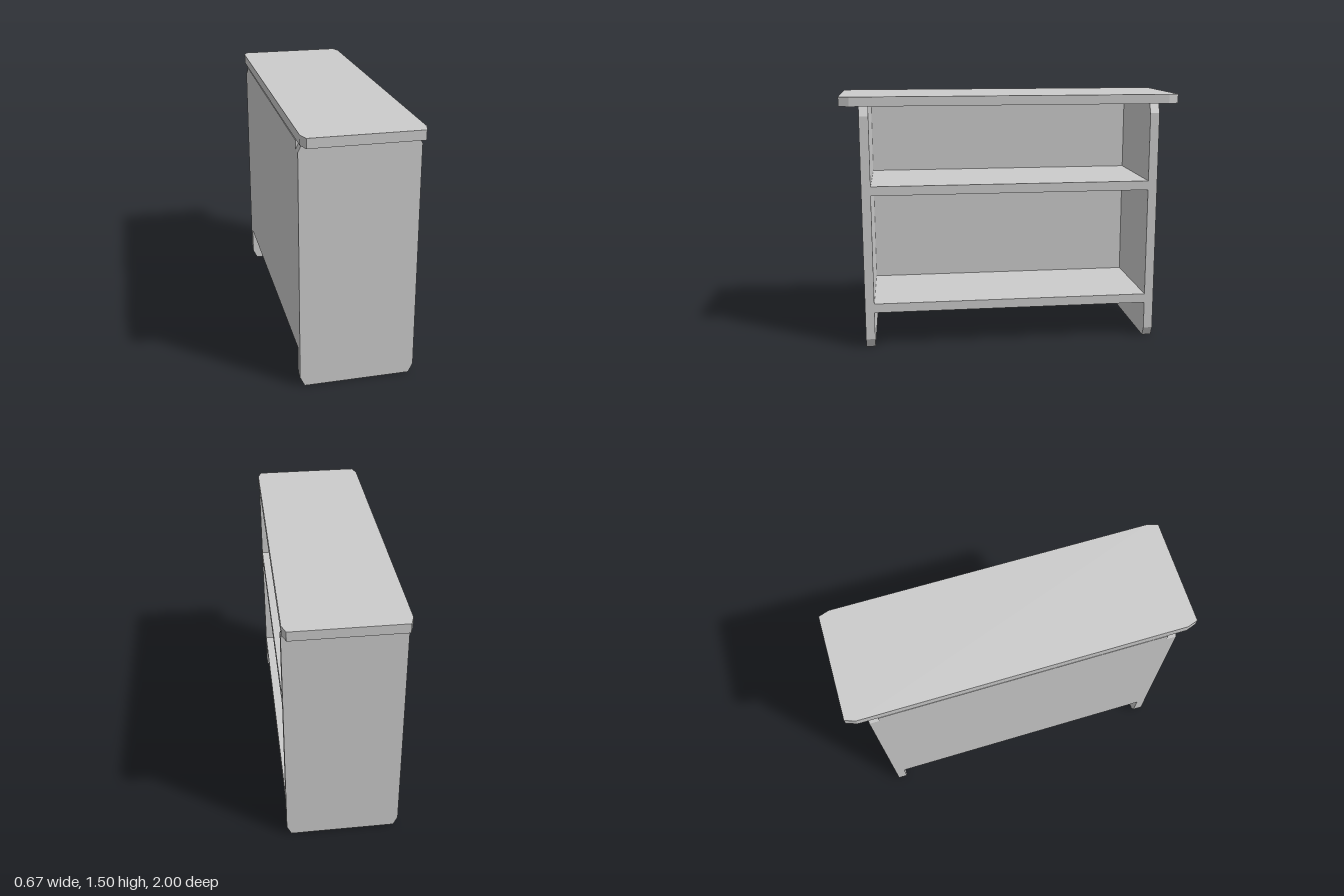
import * as THREE from 'three';

const material = new THREE.MeshStandardMaterial({ color: 0xcccccc, flatShading: true });
const BOARD = 0.055; // thickness shared by all boards
const HALF_DEPTH = 0.333;

// Board with four clipped corners, drawn in XY and extruded along +z
function clippedBoard(halfW, halfH, cutX, cutY) {
  const x = halfW - cutX, y = halfH - cutY;
  const shape = new THREE.Shape([
    [-x, -halfH], [x, -halfH], [halfW, -y], [halfW, y],
    [x, halfH], [-x, halfH], [-halfW, y], [-halfW, -y],
  ].map(([px, py]) => new THREE.Vector2(px, py)));
  return new THREE.ExtrudeGeometry(shape, { depth: BOARD, bevelEnabled: false });
}

export function createModel() {
  const group = new THREE.Group();
  const add = (name, geometry, x, y, z) => {
    const mesh = new THREE.Mesh(geometry, material);
    mesh.name = name;
    mesh.position.set(x, y, z);
    group.add(mesh);
  };

  // Top board, overhanging both ends
  const top = clippedBoard(HALF_DEPTH, 1, 0.021, 0.061);
  top.rotateX(-Math.PI / 2);
  add('topBoard', top, 0, 1.45, 0);

  // End panels that also form the feet
  const end = clippedBoard(HALF_DEPTH, 0.725, 0.026, 0.055);
  add('frontEndPanel', end, 0, 0.725, 0.832);
  add('backEndPanel', end, 0, 0.725, -0.828 - BOARD);

  // Panel closing the -x side, just short of the top board
  const length = 1.66, midZ = 0.002, panelBottom = 0.22, panelTop = 1.444;
  add('closingPanel', new THREE.BoxGeometry(BOARD - 0.003, panelTop - panelBottom, length),
    -HALF_DEPTH + (BOARD - 0.003) / 2, (panelBottom + panelTop) / 2, midZ);

  // Shelves, flush with the open +x side
  const inner = -HALF_DEPTH + BOARD - 0.003;
  const shelf = new THREE.BoxGeometry(HALF_DEPTH - inner, BOARD, length);
  for (const [name, bottom] of [['lowerShelf', 0.22], ['middleShelf', 0.931]]) {
    add(name, shelf, (HALF_DEPTH + inner) / 2, bottom + BOARD / 2, midZ);
  }

  return group;
}
